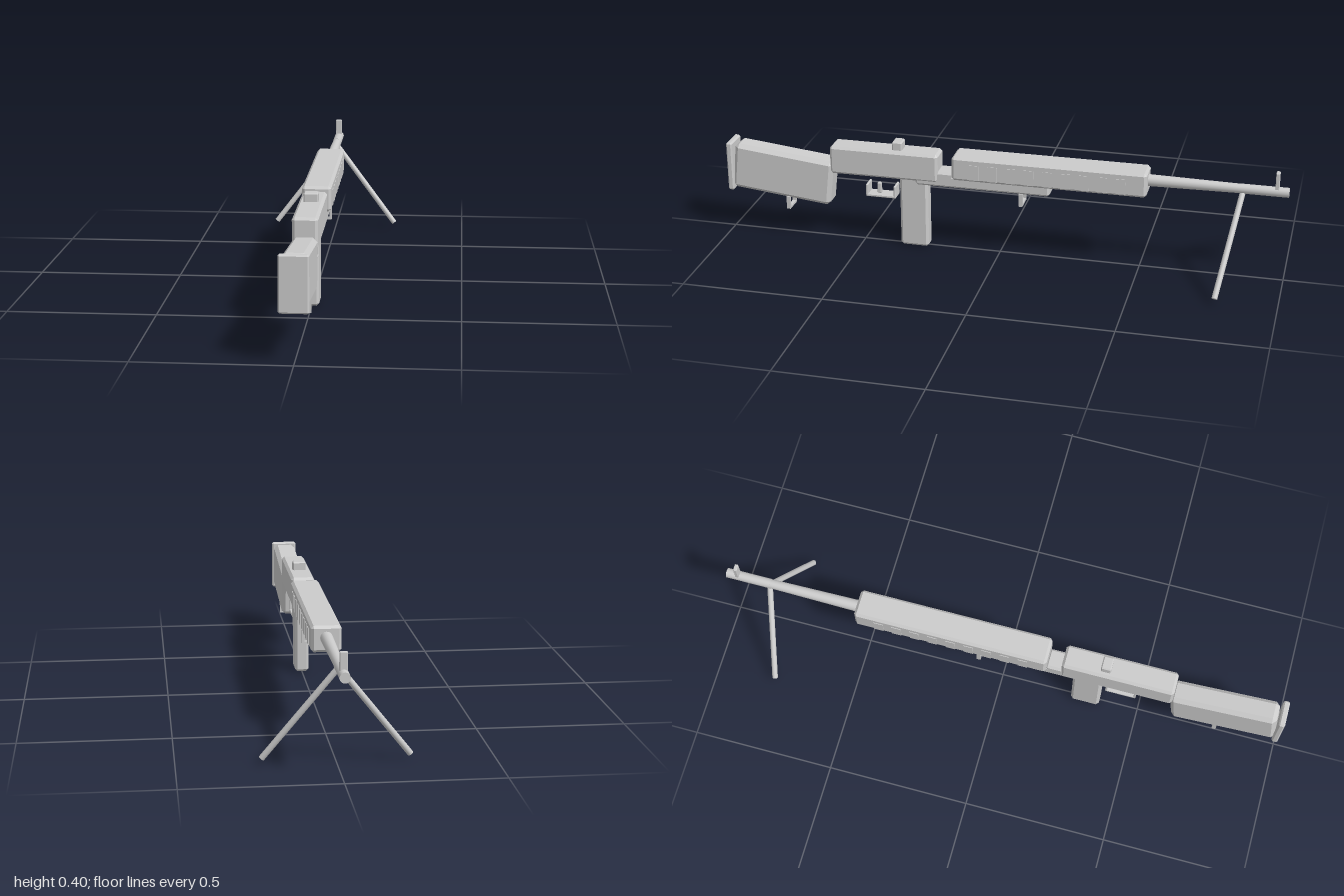
import * as THREE from 'three';
import { ConvexGeometry } from 'three/addons/geometries/ConvexGeometry.js';

export function createModel() {
  const model = new THREE.Group();
  const material = new THREE.MeshStandardMaterial({ color: 0xcccccc });
  const flat = new THREE.MeshStandardMaterial({ color: 0xcccccc, flatShading: true });

  // Box with every edge chamfered by c
  function chamferBox(w, h, d, c) {
    const points = [];
    for (const x of [-1, 1]) for (const y of [-1, 1]) for (const z of [-1, 1]) {
      for (let axis = 0; axis < 3; axis++) {
        const s = [w, h, d].map((n, i) => n / 2 - (i === axis ? 0 : c));
        points.push(new THREE.Vector3(x * s[0], y * s[1], z * s[2]));
      }
    }
    return new ConvexGeometry(points);
  }

  function add(name, geometry, x, y, z, parent = model, mat = flat) {
    const mesh = new THREE.Mesh(geometry, mat);
    mesh.name = name;
    mesh.position.set(x, y, z);
    parent.add(mesh);
    return mesh;
  }

  // Chamfered block given by its extents in y and z
  function block(name, w, y0, y1, z0, z1, c, parent) {
    return add(name, chamferBox(w, y1 - y0, z1 - z0, c), 0, (y0 + y1) / 2, (z0 + z1) / 2, parent);
  }

  // Round rod between two points
  function rod(name, from, to, r0, r1) {
    const dir = to.clone().sub(from);
    const mid = from.clone().add(to).multiplyScalar(0.5);
    const mesh = add(name, new THREE.CylinderGeometry(r1, r0, dir.length(), 20), mid.x, mid.y, mid.z, model, material);
    mesh.quaternion.setFromUnitVectors(new THREE.Vector3(0, 1, 0), dir.normalize());
    return mesh;
  }

  // Main body
  block('receiver', 0.084, 0.262, 0.366, 0.217, 0.612, 0.009);
  block('handguard', 0.1, 0.282, 0.37, -0.522, 0.165, 0.009);
  block('lowerForend', 0.072, 0.246, 0.303, 0.16, 0.3, 0.008);
  block('lowerForend', 0.072, 0.246, 0.29, -0.182, 0.25, 0.008);
  block('magazine', 0.05, 0.003, 0.28, 0.258, 0.361, 0.009);

  // Tilted stock with its end plate
  const stock = add('stock', chamferBox(0.082, 0.17, 0.37, 0.014), 0, 0.237, 0.794);
  stock.rotation.x = -0.11;
  block('buttPlate', 0.094, 0.163, 0.345, 0.978, 1, 0.005);

  // Sights
  block('rearSight', 0.048, 0.36, 0.396, 0.35, 0.386, 0.004);
  block('frontSight', 0.025, 0.335, 0.402, -0.966, -0.953, 0.002);

  // Barrel and muzzle
  const axis = (z) => new THREE.Vector3(0, 0.331, z);
  rod('barrel', axis(-0.5), axis(-0.86), 0.021, 0.016);
  rod('muzzle', axis(-0.84), axis(-1), 0.017, 0.017);

  // Bipod
  for (const side of [-1, 1]) {
    rod(side > 0 ? 'leftBipodLeg' : 'rightBipodLeg',
      new THREE.Vector3(0, 0.322, -0.845), new THREE.Vector3(side * 0.233, 0.022, -0.79), 0.01, 0.01);
  }

  // Raised vent strips along both sides of the handguard
  const vents = new THREE.Group();
  vents.name = 'vents';
  model.add(vents);
  const ventShape = new THREE.BoxGeometry(0.006, 0.055, 0.034);
  for (let i = 0; i < 9; i++) {
    for (const side of [-1, 1]) add('vent', ventShape, side * 0.0492, 0.318, 0.082 - i * 0.0645, vents);
  }

  // Sling loops: a bar with two upright ends
  for (const [name, z, y] of [['rearSlingLoop', 0.777, 0.105], ['frontSlingLoop', -0.08, 0.2]]) {
    const loop = new THREE.Group();
    loop.name = name;
    model.add(loop);
    add('bar', new THREE.BoxGeometry(0.07, 0.008, 0.014), 0, y + 0.004, z, loop);
    for (const side of [-1, 1]) {
      add('loopEnd', new THREE.BoxGeometry(0.008, 0.047, 0.014), side * 0.031, y + 0.0235, z, loop);
    }
  }

  // Trigger guard and trigger
  const guard = new THREE.Group();
  guard.name = 'triggerGuard';
  model.add(guard);
  block('guardBase', 0.05, 0.18, 0.189, 0.376, 0.486, 0.002, guard);
  for (const z of [0.38, 0.482]) block('guardEnd', 0.05, 0.18, 0.226, z - 0.004, z + 0.004, 0.002, guard);
  block('trigger', 0.014, 0.187, 0.228, 0.434, 0.449, 0.003);

  return model;
}
